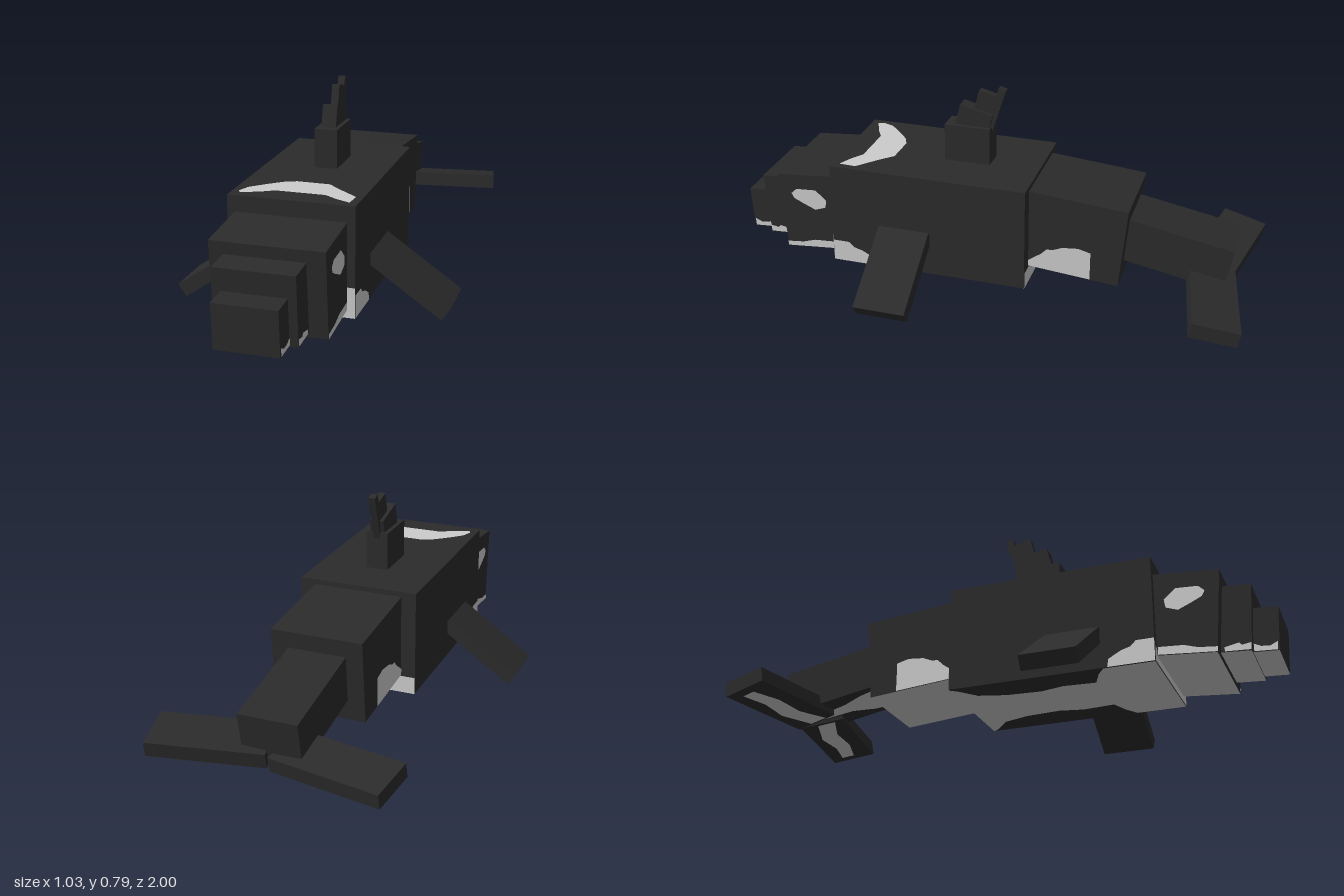
import * as THREE from 'three';

const dark = new THREE.MeshStandardMaterial({ color: 0x2b2b2b });
dark.name = 'charcoal skin';
const light = new THREE.MeshStandardMaterial({ color: 0xcccccc, side: THREE.DoubleSide });
light.name = 'pale markings';

const LIFT = 0.002; // gap between a marking and the skin under it

// Box with an optional pale underside
function block(parent, name, size, pos, rot = [0, 0, 0], paleBelly = false) {
  const mats = paleBelly ? [dark, dark, dark, light, dark, dark] : dark;
  const mesh = new THREE.Mesh(new THREE.BoxGeometry(...size), mats);
  mesh.name = name;
  mesh.position.set(...pos);
  mesh.rotation.set(...rot);
  parent.add(mesh);
  return mesh;
}

// Flat marking: outline points (u, v) laid in the plane axis = at
function marking(parent, name, axis, at, points) {
  const shape = new THREE.Shape(points.map(([u, v]) => new THREE.Vector2(u, v)));
  const geo = new THREE.ShapeGeometry(shape);
  const p = geo.attributes.position;
  for (let i = 0; i < p.count; i++) {
    const u = p.getX(i), v = p.getY(i);
    if (axis === 'x') p.setXYZ(i, at, v, u); // u = z, v = y
    if (axis === 'y') p.setXYZ(i, u, at, v); // u = x, v = z
    if (axis === 'z') p.setXYZ(i, u, v, at); // u = x, v = y
  }
  geo.computeVertexNormals();
  const mesh = new THREE.Mesh(geo, light);
  mesh.name = name;
  parent.add(mesh);
}

// The same marking on both flanks of a part
function flankMarkings(parent, name, centreX, width, points) {
  for (const s of [1, -1]) {
    marking(parent, name + (s > 0 ? 'Left' : 'Right'), 'x', centreX + s * (width / 2 + LIFT), points);
  }
}

const rect = (u0, u1, v0, v1) => [[u0, v0], [u1, v0], [u1, v1], [u0, v1]];

export function createModel() {
  const whale = new THREE.Group();
  whale.name = 'whale';

  // Body and head, stepping down to the nose
  block(whale, 'body', [0.456, 0.4, 0.765], [-0.003, 0.285, 0.2025]);
  block(whale, 'head', [0.401, 0.312, 0.27], [-0.004, 0.262, 0.673], [0.087, 0, 0], true);
  block(whale, 'snout', [0.285, 0.25, 0.15], [-0.0125, 0.235, 0.835], [0.07, 0, 0], true);
  block(whale, 'nose', [0.227, 0.165, 0.12], [-0.0135, 0.19, 0.935], [0.06, 0, 0], true);

  // Tail
  block(whale, 'tailBase', [0.344, 0.311, 0.38], [-0.003, 0.295, -0.347], [-0.087, 0, 0], true);
  const stem = block(whale, 'tailStem', [0.217, 0.17, 0.4], [-0.003, 0.253, -0.718], [-0.18, 0, 0]);
  marking(stem, 'tailStemBelly', 'y', -0.085 - LIFT,
    [[-0.09, 0.2], [0.09, 0.2], [0.07, 0.08], [0.03, 0], [0.02, -0.14], [-0.02, -0.14], [-0.04, 0], [-0.07, 0.08]]);

  // Paired tail flukes and side fins
  for (const s of [1, -1]) {
    const side = s > 0 ? 'Left' : 'Right';
    const fluke = block(whale, 'fluke' + side, [0.42, 0.056, 0.172],
      [s > 0 ? 0.23 : -0.223, s > 0 ? 0.156 : 0.147, -0.878], [-0.18, s * 0.17, s * 0.02]);
    marking(fluke, 'flukeBelly' + side, 'y', -0.028 - LIFT,
      [[-0.2, -0.02], [-0.06, -0.05], [0.06, -0.03], [0.17, -0.04], [0.17, 0.01], [0.05, 0.03], [-0.08, 0.02], [-0.2, 0.05]]
        .map(([x, z]) => [s * x, z]));
    block(whale, 'sideFin' + side, [0.34, 0.055, 0.2],
      [s > 0 ? 0.359 : -0.362, s > 0 ? 0.147 : 0.121, 0.291], [0, 0, -s * 0.606]);
  }

  // Dorsal fin: narrowing blocks leaning back
  block(whale, 'dorsalBase', [0.085, 0.18, 0.177], [-0.003, 0.54, 0.0985]);
  block(whale, 'dorsalMiddle', [0.055, 0.12, 0.13], [-0.003, 0.637, 0.082], [-0.25, 0, 0]);
  block(whale, 'dorsalUpper', [0.028, 0.12, 0.067], [-0.003, 0.705, 0.042], [-0.25, 0, 0]);
  block(whale, 'dorsalTip', [0.026, 0.2, 0.029], [-0.003, 0.688, 0], [-0.3, 0, 0]);

  // Saddle patch on the back
  marking(whale, 'saddlePatch', 'y', 0.485 + LIFT, [
    [-0.206, 0.535], [-0.19, 0.49], [-0.14, 0.44], [-0.09, 0.397], [-0.048, 0.378], [0.074, 0.38],
    [0.116, 0.42], [0.164, 0.46], [0.2, 0.49], [0.196, 0.555], [0.14, 0.53], [0.095, 0.5],
    [-0.085, 0.5], [-0.127, 0.525], [-0.196, 0.555]]);

  // Belly, pinched in the middle
  const bellyEdge = [[0.224, 0.585], [0.224, 0.4], [0.18, 0.37], [0.11, 0.34], [0.12, 0.22],
    [0.1, 0.13], [0.11, 0], [0.14, -0.1], [0.2, -0.15], [0.224, -0.18]];
  marking(whale, 'belly', 'y', 0.085 - LIFT,
    [...bellyEdge, ...bellyEdge.slice().reverse().map(([x, z]) => [-x - 0.006, z])]);

  // Pale rims on the front and back faces of the body
  marking(whale, 'chestRimLeft', 'z', 0.585 + LIFT, rect(0.19, 0.225, 0.085, 0.195));
  marking(whale, 'chestRimRight', 'z', 0.585 + LIFT, rect(-0.231, -0.2, 0.085, 0.14));
  marking(whale, 'chestRim', 'z', 0.585 + LIFT, rect(-0.2, 0.19, 0.085, 0.11));
  marking(whale, 'rearRim', 'z', -0.18 - LIFT, rect(-0.231, 0.225, 0.085, 0.15));

  // Flank markings
  flankMarkings(whale, 'chestPatch', -0.003, 0.456,
    [[0.585, 0.085], [0.585, 0.17], [0.52, 0.17], [0.5, 0.15], [0.465, 0.14], [0.42, 0.115], [0.415, 0.085]]);
  flankMarkings(whale, 'tailPatch', -0.003, 0.344,
    [[-0.18, 0.155], [-0.18, 0.178], [-0.23, 0.214], [-0.25, 0.235], [-0.275, 0.237], [-0.31, 0.252],
      [-0.37, 0.258], [-0.417, 0.246], [-0.417, 0.135]]);
  flankMarkings(whale, 'eyePatch', -0.004, 0.401,
    [[0.765, 0.332], [0.743, 0.353], [0.663, 0.358], [0.62, 0.32], [0.625, 0.289], [0.668, 0.273], [0.717, 0.294], [0.755, 0.312]]);
  flankMarkings(whale, 'jawPatch', -0.004, 0.401,
    [[0.795, 0.097], [0.797, 0.115], [0.73, 0.122], [0.68, 0.138], [0.59, 0.144], [0.59, 0.115]]);
  flankMarkings(whale, 'snoutPatch', -0.0125, 0.285,
    [[0.9, 0.109], [0.902, 0.135], [0.87, 0.13], [0.86, 0.14], [0.81, 0.13], [0.81, 0.114]]);
  flankMarkings(whale, 'nosePatch', -0.0135, 0.227,
    [[0.985, 0.107], [0.987, 0.138], [0.96, 0.125], [0.93, 0.128], [0.905, 0.14], [0.905, 0.112]]);

  return whale;
}
